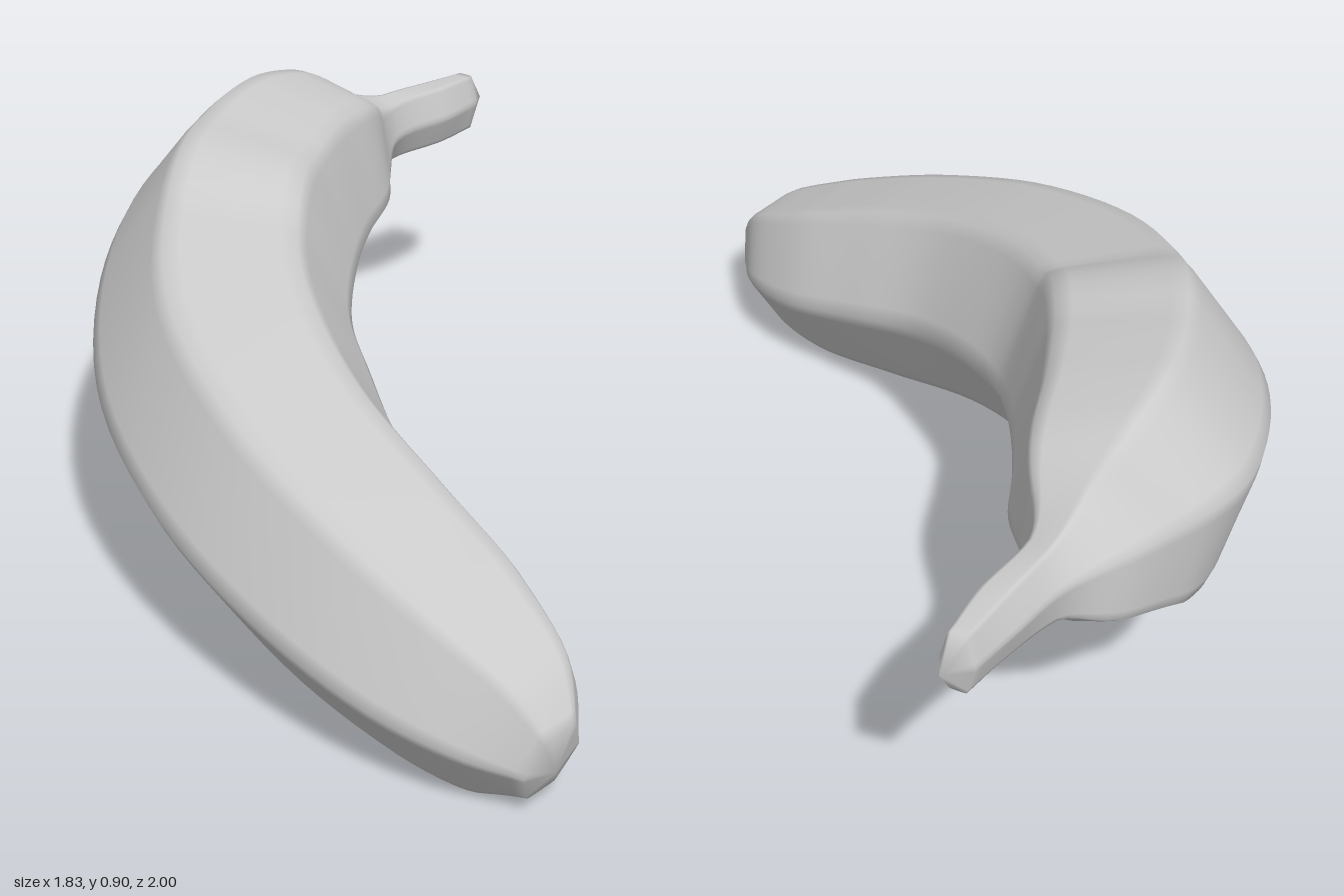
import * as THREE from 'three';

// Stations from stem to blossom end: outer ridge xyz, inner ridge xyz, half height
const STATIONS = [
  [-0.635, 0.64, -0.95, -0.555, 0.64, -0.95, 0.075],
  [-0.665, 0.645, -0.82, -0.55, 0.64, -0.82, 0.08],
  [-0.70, 0.655, -0.68, -0.582, 0.63, -0.63, 0.085],
  [-0.80, 0.67, -0.50, -0.53, 0.58, -0.53, 0.165],
  [-0.89, 0.69, -0.34, -0.45, 0.56, -0.42, 0.235],
  [-0.917, 0.685, -0.20, -0.38, 0.55, -0.25, 0.265],
  [-0.87, 0.66, 0.05, -0.29, 0.535, -0.08, 0.275],
  [-0.72, 0.58, 0.37, -0.18, 0.49, 0.08, 0.275],
  [-0.45, 0.47, 0.68, -0.04, 0.46, 0.20, 0.265],
  [-0.10, 0.375, 0.885, 0.17, 0.38, 0.345, 0.255],
  [0.25, 0.28, 0.98, 0.40, 0.30, 0.43, 0.238],
  [0.55, 0.205, 1.0, 0.63, 0.225, 0.51, 0.208],
  [0.75, 0.165, 0.97, 0.80, 0.175, 0.62, 0.165],
  [0.87, 0.13, 0.91, 0.895, 0.135, 0.75, 0.09],
];
const STEM_TIP = new THREE.Vector3(-0.58, 0.64, -1.0);
const BLOSSOM_TIP = new THREE.Vector3(0.9, 0.12, 0.84);
const RINGS = 72;

// Six-sided section with softly bevelled corners, in (outward, up) units
function sectionProfile() {
  const hex = [[1, 0], [0.5, 1], [-0.5, 1], [-1, 0], [-0.5, -1], [0.5, -1]]
    .map(([x, y]) => new THREE.Vector2(x, y));
  const points = [];
  hex.forEach((corner, i) => {
    const before = hex[(i + 5) % 6], after = hex[(i + 1) % 6];
    points.push(
      corner.clone().lerp(before, 0.14),
      corner.clone().multiplyScalar(0.98),
      corner.clone().lerp(after, 0.14),
    );
  });
  return points;
}

function bananaGeometry() {
  const curve = (pick) => new THREE.CatmullRomCurve3(STATIONS.map(pick));
  const outer = curve((s) => new THREE.Vector3(s[0], s[1], s[2]));
  const inner = curve((s) => new THREE.Vector3(s[3], s[4], s[5]));
  const height = curve((s) => new THREE.Vector3(s[6], 0, 0));
  const centreAt = (t) => outer.getPoint(t).add(inner.getPoint(t)).multiplyScalar(0.5);
  const profile = sectionProfile();
  const n = profile.length;
  const positions = [], index = [];

  // Sections swept along the bend
  for (let i = 0; i <= RINGS; i++) {
    const t = i / RINGS;
    const centre = centreAt(t);
    const side = outer.getPoint(t).sub(centre);
    const along = centreAt(Math.min(1, t + 0.01)).sub(centreAt(Math.max(0, t - 0.01)));
    const up = side.clone().cross(along).normalize();
    if (up.y < 0) up.negate();
    up.multiplyScalar(height.getPoint(t).x);
    for (const p of profile) {
      const v = centre.clone().addScaledVector(side, p.x).addScaledVector(up, p.y);
      positions.push(v.x, Math.max(0, v.y), v.z);
    }
  }
  for (let i = 0; i < RINGS; i++) {
    for (let j = 0; j < n; j++) {
      const a = i * n + j, b = i * n + (j + 1) % n;
      index.push(a, a + n, b, b, a + n, b + n);
    }
  }

  // Pointed ends
  const stem = (RINGS + 1) * n, blossom = stem + 1, last = RINGS * n;
  positions.push(...STEM_TIP.toArray(), ...BLOSSOM_TIP.toArray());
  for (let j = 0; j < n; j++) {
    const k = (j + 1) % n;
    index.push(stem, j, k, blossom, last + k, last + j);
  }

  const geometry = new THREE.BufferGeometry();
  geometry.setAttribute('position', new THREE.Float32BufferAttribute(positions, 3));
  geometry.setIndex(index);
  geometry.computeVertexNormals();
  return geometry;
}

export function createModel() {
  const group = new THREE.Group();
  group.name = 'banana';
  const peel = new THREE.Mesh(
    bananaGeometry(),
    new THREE.MeshStandardMaterial({ color: 0xcccccc }),
  );
  peel.name = 'peel';
  group.add(peel);
  return group;
}
